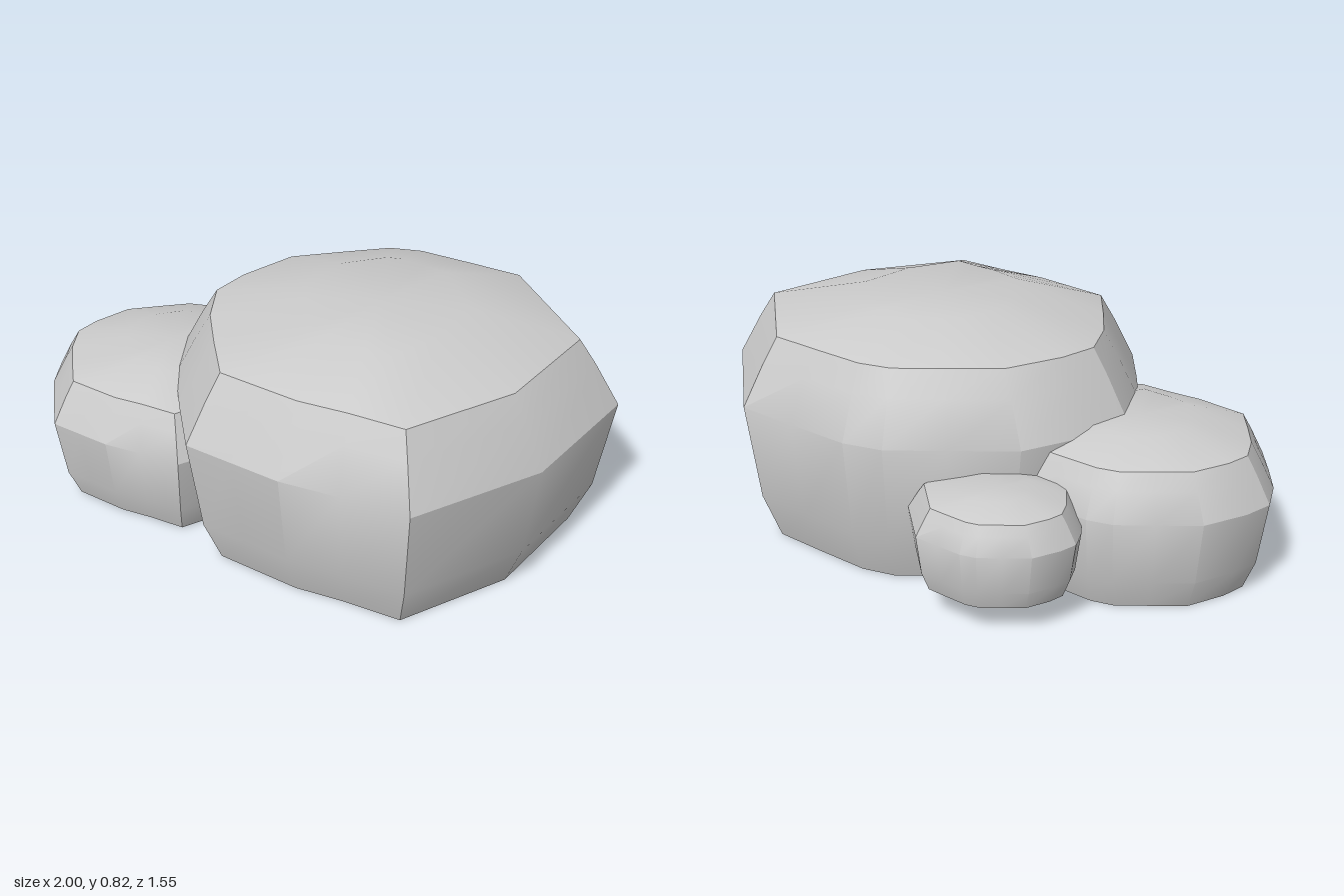
import * as THREE from 'three';
import { toCreasedNormals } from 'three/addons/utils/BufferGeometryUtils.js';

// Widest outline of a boulder as [x, z], counter-clockwise from above
const outline = [
  [1.0, 0.08], [0.75, -0.4], [0.54, -0.48], [0.32, -0.56], [0.18, -0.57], [-0.02, -0.51], [-0.24, -0.44],
  [-0.42, -0.26], [-0.51, -0.12], [-0.5, 0.08], [-0.445, 0.28], [-0.38, 0.49],
  [-0.22, 0.565], [-0.06, 0.64], [0.14, 0.695], [0.36, 0.77], [0.75, 0.49],
];
const centre = [0.2, 0.05];

// Horizontal cross-sections as [height, x scale, z scale]
const rings = [
  [0, 0.85, 0.865], [0.16, 0.935, 0.95], [0.5, 1, 1],
  [0.65, 0.89, 0.9], [0.74, 0.815, 0.835], [0.825, 0.36, 0.47],
];

function boulderGeometry() {
  const n = outline.length;
  const positions = [];
  const index = [];
  for (const [y, sx, sz] of rings) {
    for (const [x, z] of outline) {
      positions.push(centre[0] + (x - centre[0]) * sx, y, centre[1] + (z - centre[1]) * sz);
    }
  }
  const last = (rings.length - 1) * n;
  const bottom = rings.length * n;
  const top = bottom + 1;
  positions.push(centre[0], 0, centre[1], centre[0], 0.825, centre[1]);

  for (let i = 0; i < n; i++) {
    const j = (i + 1) % n;
    // Side walls and sloping shoulder
    for (let r = 0; r < last; r += n) {
      index.push(r + i, r + j, r + n + j, r + i, r + n + j, r + n + i);
    }
    // Flat underside and top
    index.push(bottom, j, i, top, last + i, last + j);
  }
  const geometry = new THREE.BufferGeometry();
  geometry.setAttribute('position', new THREE.Float32BufferAttribute(positions, 3));
  geometry.setIndex(index);
  return toCreasedNormals(geometry, 0.5);
}

export function createModel() {
  const group = new THREE.Group();
  group.name = 'boulderCluster';
  const geometry = boulderGeometry();
  const material = new THREE.MeshStandardMaterial({ color: 0xcccccc });

  // One boulder shape repeated at three sizes
  const boulders = [
    ['largeBoulder', 1, 0, 0, 0],
    ['mediumBoulder', 0.64, -0.674, 0, -0.133],
    ['smallBoulder', 0.385, -0.274, 0.1, -0.562],
  ];
  for (const [name, scale, x, y, z] of boulders) {
    const boulder = new THREE.Mesh(geometry, material);
    boulder.name = name;
    boulder.scale.setScalar(scale);
    boulder.position.set(x, y, z);
    group.add(boulder);
  }
  return group;
}
